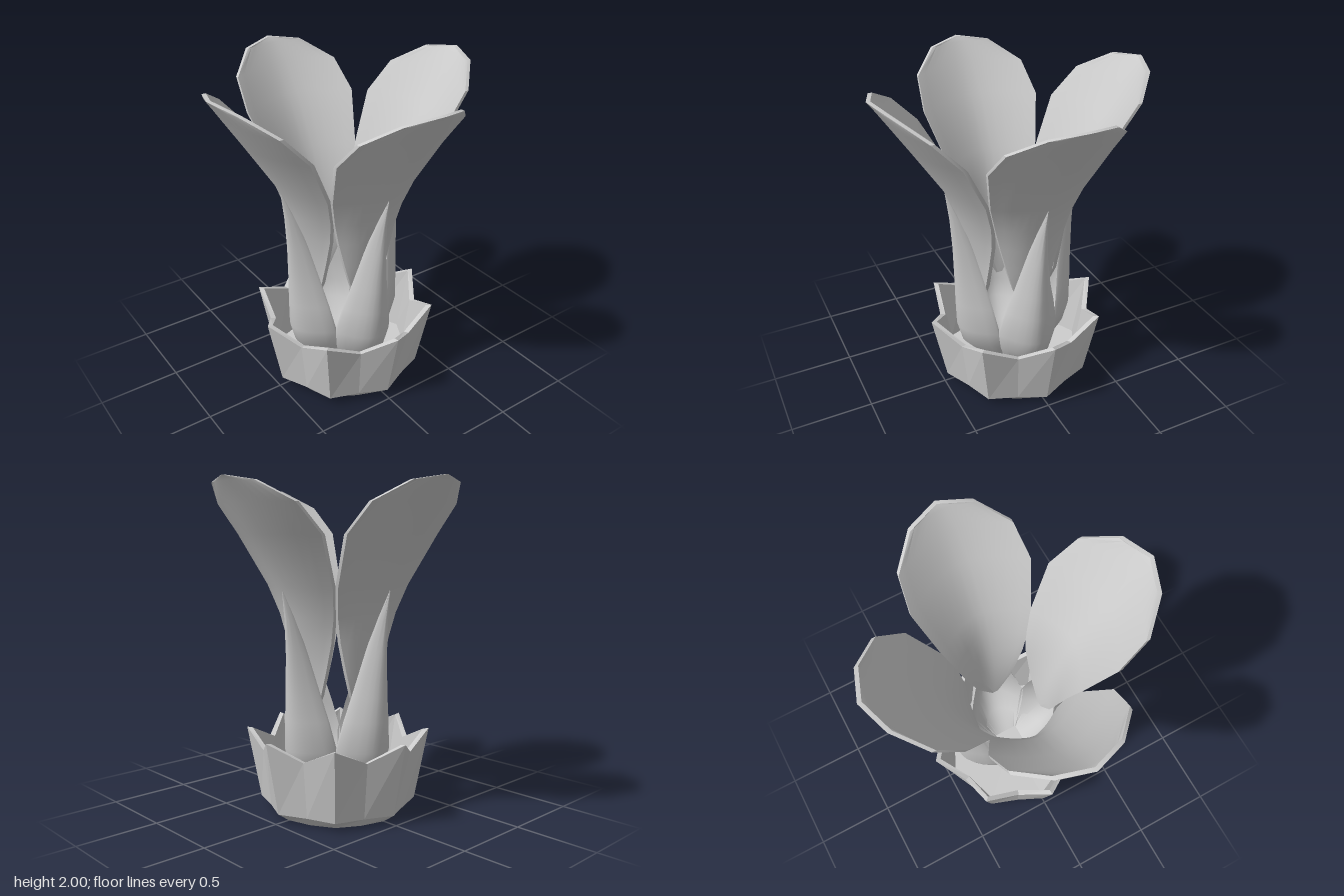
import * as THREE from 'three';
import { toCreasedNormals } from 'three/addons/utils/BufferGeometryUtils.js';

const material = new THREE.MeshStandardMaterial({ color: 0xcccccc });
const flatMaterial = new THREE.MeshStandardMaterial({ color: 0xcccccc, flatShading: true });

function indexed(points, index) {
  const geo = new THREE.BufferGeometry();
  geo.setAttribute('position', new THREE.Float32BufferAttribute(points, 3));
  geo.setIndex(index);
  return geo;
}

// Joins rings of n points each, listed counter-clockwise seen from above
function joinRings(index, count, n) {
  for (let i = 0; i < count - 1; i++) {
    for (let k = 0; k < n; k++) {
      const a = i * n + k, b = i * n + (k + 1) % n;
      index.push(a, b, b + n, a, b + n, a + n);
    }
  }
}

// Curved blade facing +z; rows are [y, middle z, edge z, half width]
function blade(rows, thickness, power, n = 12) {
  const points = [], index = [], ring = 2 * (n + 1);
  for (const [y, mid, edge, width] of rows) {
    for (let k = 0; k < ring; k++) {
      const inner = k > n;
      const u = ((inner ? ring - 1 - k : k) / n) * 2 - 1;
      const z = edge + (mid - edge) * (1 - Math.abs(u) ** power);
      points.push(u * width, y, z - (inner ? thickness : 0));
    }
  }
  joinRings(index, rows.length, ring);
  const top = (rows.length - 1) * ring;
  for (let j = 0; j < n; j++) {
    const o = j, p = j + 1, q = ring - 1 - j, r = ring - 2 - j;
    index.push(o, q, r, o, r, p);
    index.push(top + o, top + r, top + q, top + o, top + p, top + r);
  }
  return toCreasedNormals(indexed(points, index), 0.7);
}

// Eight-pointed cup; rings are [tip radius, tip y, valley radius, valley y]
function cupGeometry() {
  const rings = [
    [0, 0, 0, 0],
    [0.4, 0, 0.39, 0],
    [0.48, 0.055, 0.435, 0.055],
    [0.565, 0.5, 0.478, 0.4],
    [0.53, 0.495, 0.445, 0.395],
    [0.45, 0.08, 0.405, 0.08],
    [0, 0.06, 0, 0.06],
  ];
  const points = [], index = [];
  for (const [tipR, tipY, valleyR, valleyY] of rings) {
    for (let k = 0; k < 16; k++) {
      const a = (k / 16) * Math.PI * 2, tip = k % 2 === 0;
      const r = tip ? tipR : valleyR;
      points.push(r * Math.sin(a), tip ? tipY : valleyY, r * Math.cos(a));
    }
  }
  joinRings(index, rings.length, 16);
  return indexed(points, index);
}

export function createModel() {
  const model = new THREE.Group();
  const add = (name, geo, mat = material) => {
    const mesh = new THREE.Mesh(geo, mat);
    mesh.name = name;
    model.add(mesh);
    return mesh;
  };

  add('cup', cupGeometry(), flatMaterial);

  // Square floor where the sepals meet
  add('bulbFloor', new THREE.BoxGeometry(0.16, 0.03, 0.16)).position.y = 0.075;

  const sepal = blade([
    [0.07, 0.085, 0.085, 0.08],
    [0.17, 0.25, 0.14, 0.135],
    [0.3, 0.36, 0.18, 0.18],
    [0.42, 0.39, 0.205, 0.2],
    [0.6, 0.395, 0.235, 0.162],
    [0.75, 0.397, 0.262, 0.122],
    [1.0, 0.402, 0.315, 0.068],
    [1.2, 0.414, 0.37, 0.033],
    [1.375, 0.435, 0.435, 0.001],
  ], 0.015, 2);

  const petal = blade([
    [0.58, 0.24, 0.24, 0.02],
    [0.75, 0.262, 0.242, 0.115],
    [0.9, 0.29, 0.24, 0.158],
    [1.07, 0.33, 0.238, 0.2],
    [1.22, 0.375, 0.258, 0.24],
    [1.39, 0.437, 0.31, 0.29],
    [1.69, 0.628, 0.465, 0.37],
    [1.86, 0.738, 0.622, 0.343],
    [1.97, 0.81, 0.768, 0.19],
    [2.0, 0.832, 0.832, 0.002],
  ], 0.024, 1.7);

  // Four petals, each backed by a pointed sepal
  ['front', 'left', 'back', 'right'].forEach((side, i) => {
    add(side + 'Sepal', sepal).rotation.y = i * Math.PI / 2;
    add(side + 'Petal', petal).rotation.y = i * Math.PI / 2;
  });

  return model;
}
